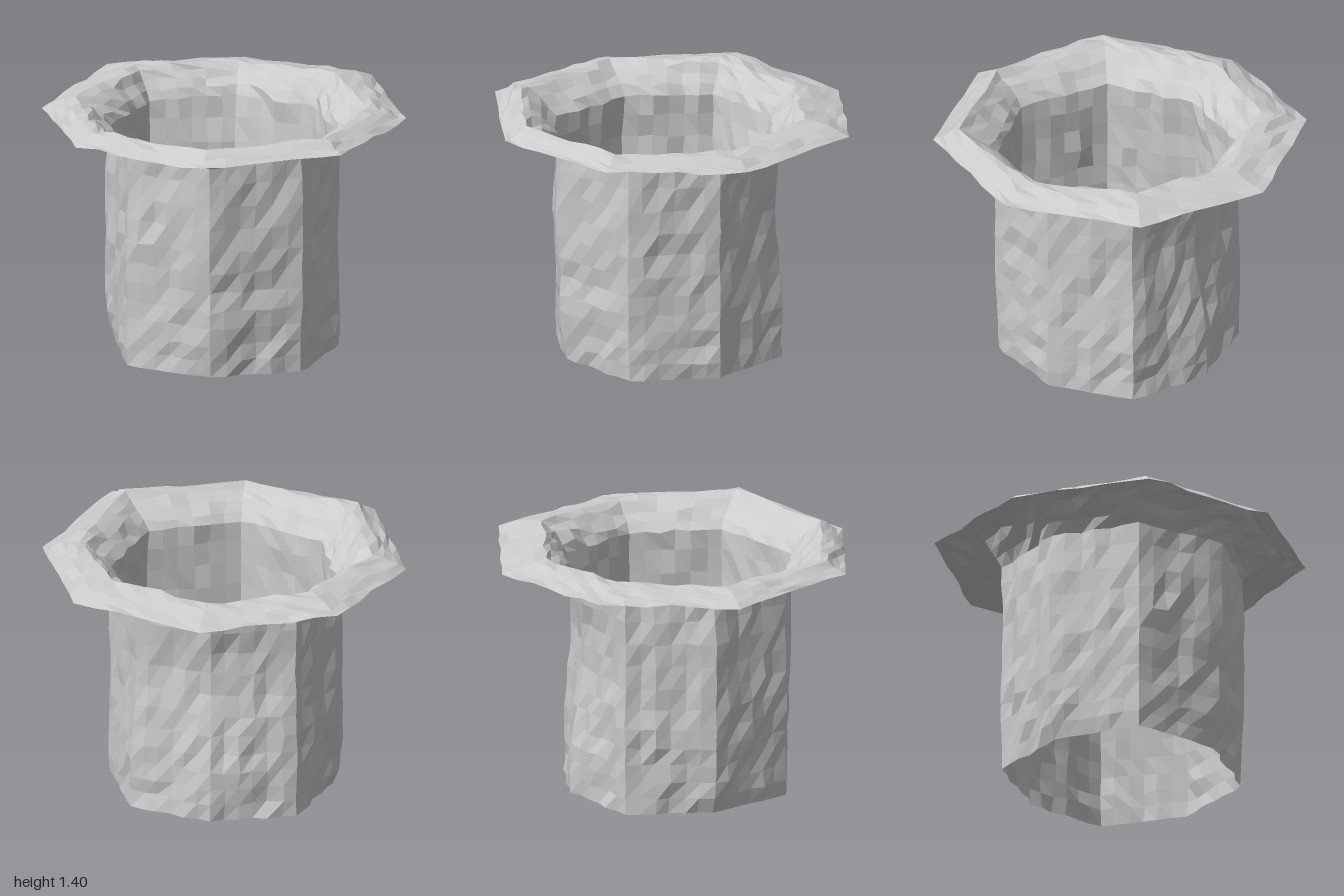
import * as THREE from 'three';

// Small seeded random, -1..1
function makeNoise(seed) {
  let s = seed;
  return () => {
    s = (s * 16807) % 2147483647;
    return (s / 2147483647) * 2 - 1;
  };
}

const SEG = 6;            // columns per side of the octagon
const COLS = 8 * SEG;

// Corners run front, front left, left, back left, back, back right, right, front right
const KEYS = [0, 0.1, 0.3, 0.5, 0.75, 0.95, 1.2];
const WALL = [
  [0.64, 0.65, 0.68, 0.67, 0.70, 0.69, 0.70],
  [0.67, 0.68, 0.68, 0.69, 0.69, 0.69, 0.68],
  [0.63, 0.64, 0.63, 0.63, 0.63, 0.64, 0.63],
  [0.64, 0.63, 0.64, 0.62, 0.60, 0.60, 0.62],
  [0.60, 0.60, 0.59, 0.56, 0.52, 0.53, 0.59],
  [0.65, 0.64, 0.65, 0.65, 0.64, 0.64, 0.65],
  [0.60, 0.64, 0.65, 0.65, 0.65, 0.65, 0.62],
  [0.67, 0.68, 0.67, 0.68, 0.68, 0.67, 0.67],
];
const CREST = [0.87, 0.89, 0.79, 0.77, 0.74, 0.77, 0.82, 0.88];
const EDGE = [1, 1.03, 1, 1.03, 1, 1.02, 1, 1.03];

function wallRadius(corner, y) {
  let i = 0;
  while (i < KEYS.length - 2 && y > KEYS[i + 1]) i++;
  const t = Math.min(1, (y - KEYS[i]) / (KEYS[i + 1] - KEYS[i]));
  return THREE.MathUtils.lerp(WALL[corner][i], WALL[corner][i + 1], t);
}

// Rings: corner radii, height and roughness
function makeRings() {
  const rings = [0, 0.09, 0.18, 0.28, 0.38, 0.49, 0.6, 0.72, 0.85, 0.98, 1.11, 1.22].map((y) => ({
    y, radii: WALL.map((_, c) => wallRadius(c, y)), rough: 0.013, lift: y === 0 ? 0 : 0.008,
  }));
  // inner slope of the brim, wall to crest
  for (const [t, y] of [[0.2, 1.27], [0.48, 1.315], [0.76, 1.355], [1, 1.38]]) {
    rings.push({ y, radii: CREST.map((c, i) => THREE.MathUtils.lerp(WALL[i][6], c, t)), rough: 0.015, lift: 0.013 });
  }
  // outer slope of the brim, crest to edge
  for (const [t, y] of [[0.3, 1.372], [0.55, 1.353], [0.78, 1.335], [1, 1.318]]) {
    rings.push({ y, radii: CREST.map((c, i) => THREE.MathUtils.lerp(c, EDGE[i], t)), rough: t === 1 ? 0.006 : 0.012, lift: 0.011 });
  }
  return rings;
}

// Rough skin through a run of rings
function skin(rows, material, name) {
  const pos = [], index = [];
  for (const row of rows) for (const p of row) pos.push(p.x, p.y, p.z);
  for (let r = 0; r < rows.length - 1; r++) {
    for (let c = 0; c < COLS; c++) {
      const n = (c + 1) % COLS;
      const a = r * COLS + c, b = r * COLS + n;
      const d = a + COLS, e = b + COLS;
      index.push(a, b, e, a, e, d);
    }
  }
  const geo = new THREE.BufferGeometry();
  geo.setAttribute('position', new THREE.Float32BufferAttribute(pos, 3));
  geo.setIndex(index);
  geo.computeVertexNormals();
  const mesh = new THREE.Mesh(geo, material);
  mesh.name = name;
  return mesh;
}

export function createModel() {
  const group = new THREE.Group();
  group.name = 'roughPot';
  const material = new THREE.MeshStandardMaterial({
    color: 0xcccccc, flatShading: true, side: THREE.DoubleSide,
  });
  const noise = makeNoise(4217);
  const columnBump = Array.from({ length: COLS }, () => noise() * 0.008);

  const rows = makeRings().map(({ y, radii, rough, lift }, ring) => {
    const corners = radii.map((r, i) => {
      const a = (i * Math.PI) / 4;
      return new THREE.Vector3(Math.sin(a) * r, y, Math.cos(a) * r);
    });
    return Array.from({ length: COLS }, (_, c) => {
      const side = Math.floor(c / SEG), k = c % SEG;
      const p = corners[side].clone().lerp(corners[(side + 1) % 8], k / SEG);
      const out = new THREE.Vector3(p.x, 0, p.z).normalize();
      const along = new THREE.Vector3(out.z, 0, -out.x);
      const calm = k === 0 ? 0.4 : 1;   // corners stay crisp
      p.addScaledVector(out, calm * (noise() * rough + (ring < 12 ? columnBump[c] : 0)));
      p.addScaledVector(along, calm * noise() * 0.01);
      p.y += noise() * lift;
      // the brim rises a little at the diagonal corners
      if (ring > 12) p.y += 0.008 * -Math.cos((c / COLS) * Math.PI * 8);
      return p;
    });
  });

  group.add(skin(rows.slice(0, 12), material, 'wall'));
  group.add(skin(rows.slice(11), material, 'flaredBrim'));
  return group;
}
